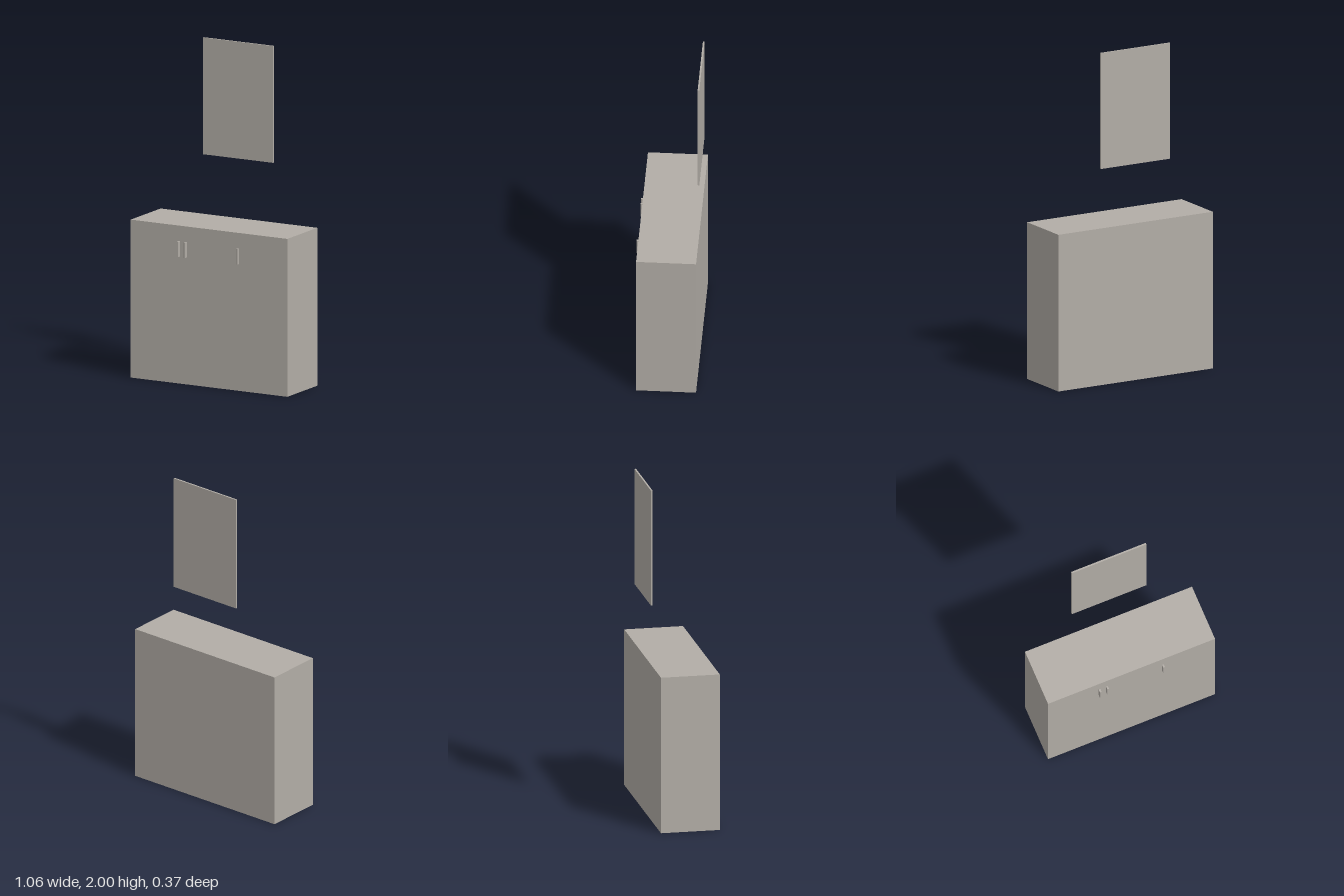
import * as THREE from 'three';

export function createModel() {
  const model = new THREE.Group();
  const grey = new THREE.MeshStandardMaterial({ color: 0xb2ada6, side: THREE.DoubleSide });
  grey.name = 'warm grey';

  const add = (name, geometry, x, y, z) => {
    const mesh = new THREE.Mesh(geometry, grey);
    mesh.name = name;
    mesh.position.set(x, y, z);
    model.add(mesh);
    return mesh;
  };

  const width = 1.056, height = 0.944, back = -0.185, front = 0.166;
  const depth = front - back, midZ = (front + back) / 2;

  // Cabinet shell: a box without its underside, so the hollow plinth shows below
  const shell = new THREE.BoxGeometry(width, height, depth);
  const index = Array.from(shell.index.array);
  index.splice(18, 6); // the downward face
  shell.setIndex(index);
  shell.clearGroups();
  add('cabinetShell', shell, 0, height / 2, midZ);

  // Floor of the cabinet, raised above the plinth
  const floor = new THREE.PlaneGeometry(width, depth).rotateX(Math.PI / 2);
  add('cabinetFloor', floor, 0, 0.13, midZ);

  // Upright door handles with bevelled outer corners
  const w = 0.0055, out = 0.019, bevel = 0.002;
  const section = new THREE.Shape([
    [-w, 0], [w, 0], [w, -out + bevel], [w - bevel, -out],
    [-w + bevel, -out], [-w, -out + bevel],
  ].map(([x, y]) => new THREE.Vector2(x, y)));
  const handle = new THREE.ExtrudeGeometry(section, { depth: 0.092, bevelEnabled: false });
  handle.rotateX(-Math.PI / 2);
  for (const x of [-0.202, -0.155, 0.198]) add('handle', handle, x, 0.759, front);

  // Wall mirror above the cabinet
  add('wallMirror', new THREE.BoxGeometry(0.472, 0.698, 0.01), 0, 1.651, back + 0.005);

  return model;
}
